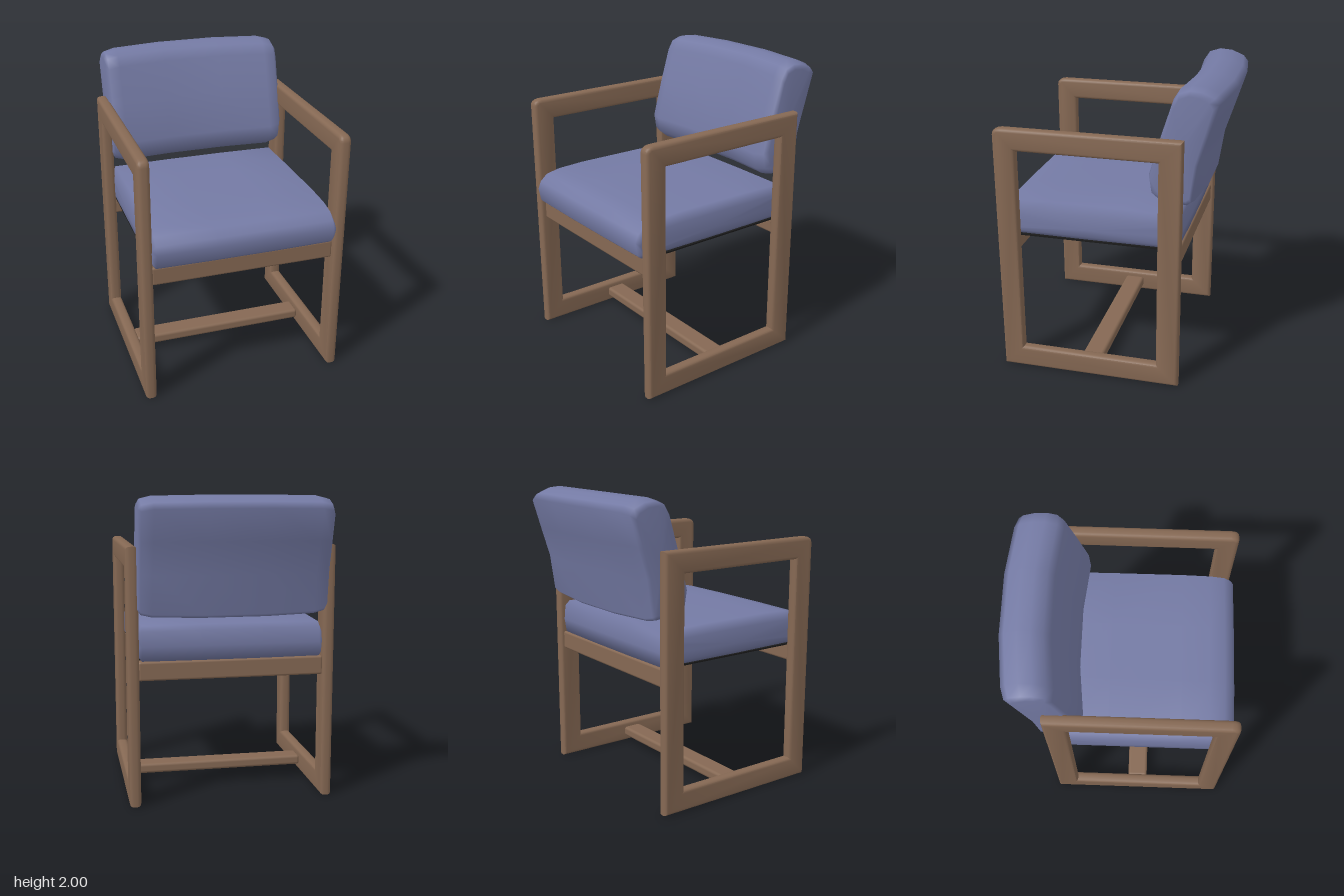
import * as THREE from 'three';
import { toCreasedNormals } from 'three/addons/utils/BufferGeometryUtils.js';
import { RoundedBoxGeometry } from 'three/addons/geometries/RoundedBoxGeometry.js';

const fabric = new THREE.MeshStandardMaterial({ color: 0x747aa4 });
fabric.name = 'blue fabric';
const wood = new THREE.MeshStandardMaterial({ color: 0x856853 });
wood.name = 'brown wood';
const lining = new THREE.MeshStandardMaterial({ color: 0x1a1a1a });
lining.name = 'black lining';

function add(parent, name, geometry, material, x = 0, y = 0, z = 0) {
  const mesh = new THREE.Mesh(geometry, material);
  mesh.name = name;
  mesh.position.set(x, y, z);
  parent.add(mesh);
  return mesh;
}

// Cushion lofted along x. Profile is [z, y] points; each station is
// [x, z scale, y scale, z shift] and is mirrored to the other side.
function cushion(profile, center, half) {
  const stations = [
    ...half.map(([x, ...rest]) => [-x, ...rest]),
    ...half.slice().reverse(),
  ];
  const [cz, cy] = center;
  const n = profile.length;
  const pos = [];
  const index = [];
  for (const [x, sz, sy, dz] of stations) {
    for (const [z, y] of profile) pos.push(x, cy + (y - cy) * sy, cz + (z - cz) * sz + dz);
  }
  for (let s = 0; s < stations.length - 1; s++) {
    for (let i = 0; i < n; i++) {
      const a = s * n + i;
      const b = s * n + (i + 1) % n;
      index.push(a, a + n, b, b, a + n, b + n);
    }
  }
  // End caps
  const last = (stations.length - 1) * n;
  const c0 = pos.length / 3;
  for (const s of [stations[0], stations[stations.length - 1]]) pos.push(s[0], cy, cz + s[3]);
  for (let i = 0; i < n; i++) {
    const j = (i + 1) % n;
    index.push(c0, i, j, c0 + 1, last + j, last + i);
  }
  const g = new THREE.BufferGeometry();
  g.setAttribute('position', new THREE.Float32BufferAttribute(pos, 3));
  g.setIndex(index);
  g.computeVertexNormals();
  return g;
}

// Closed rectangular side frame with rounded edges
function frameGeometry() {
  const shape = new THREE.Shape();
  shape.moveTo(-0.49, 0.005);
  shape.lineTo(0.71, 0.005);
  shape.lineTo(0.715, 1.64);
  shape.quadraticCurveTo(0.715, 1.68, 0.66, 1.685);
  shape.lineTo(-0.49, 1.685);
  shape.closePath();
  const hole = new THREE.Path();
  hole.moveTo(-0.34, 0.15);
  hole.lineTo(-0.34, 1.54);
  hole.lineTo(0.57, 1.54);
  hole.lineTo(0.57, 0.15);
  hole.closePath();
  shape.holes.push(hole);
  const g = new THREE.ExtrudeGeometry(shape, {
    depth: 0.025, bevelThickness: 0.025, bevelSize: 0.022, bevelOffset: -0.022,
    bevelSegments: 3, curveSegments: 4,
  });
  g.translate(0, 0, -0.0125);
  g.rotateY(-Math.PI / 2);
  return toCreasedNormals(g, 0.62);
}

export function createModel() {
  const chair = new THREE.Group();
  chair.name = 'armchair';

  // Side frames: legs, armrest and floor runner in one loop
  const frame = frameGeometry();
  add(chair, 'leftSideFrame', frame, wood, 0.638);
  add(chair, 'rightSideFrame', frame, wood, -0.638);

  // Cross rails
  const rail = new RoundedBoxGeometry(1.21, 0.125, 0.08, 2, 0.015);
  add(chair, 'frontRail', rail, wood, 0, 0.893, 0.64);
  add(chair, 'backRail', rail, wood, 0, 0.893, -0.43);
  add(chair, 'floorStretcher', new RoundedBoxGeometry(1.21, 0.07, 0.14, 2, 0.02), wood, 0, 0.083, 0.11);

  // Seat with a rounded front edge
  const seatProfile = [
    [-0.46, 0.955], [0.15, 0.953], [0.70, 0.957], [0.725, 0.98], [0.742, 1.07], [0.72, 1.12],
    [0.67, 1.165], [0.57, 1.185], [0.38, 1.193], [-0.1, 1.19], [-0.43, 1.182],
    [-0.465, 1.15], [-0.475, 1.05],
  ];
  add(chair, 'seatCushion', cushion(seatProfile, [0.13, 1.03], [
    [0.606, 0.96, 0.6, 0], [0.58, 0.993, 0.98, 0], [0.2, 1, 1, 0],
  ]), fabric);
  add(chair, 'seatLining', new THREE.BoxGeometry(1.19, 0.009, 1.1), lining, 0, 0.95, 0.11);

  // Leaning backrest, its ends curving forward
  const backProfile = [
    [-0.575, 1.26], [-0.545, 1.24], [-0.37, 1.255], [-0.305, 1.305], [-0.287, 1.41],
    [-0.36, 1.67], [-0.435, 1.91], [-0.475, 1.975], [-0.55, 2.0], [-0.63, 1.993],
    [-0.71, 1.96], [-0.743, 1.92], [-0.68, 1.72], [-0.612, 1.51],
  ];
  add(chair, 'backrest', cushion(backProfile, [-0.5, 1.62], [
    [0.61, 0.76, 0.86, 0.035], [0.592, 0.91, 0.94, 0.036], [0.52, 1, 0.985, 0.035], [0.2, 1, 1, 0],
  ]), fabric);

  return chair;
}
